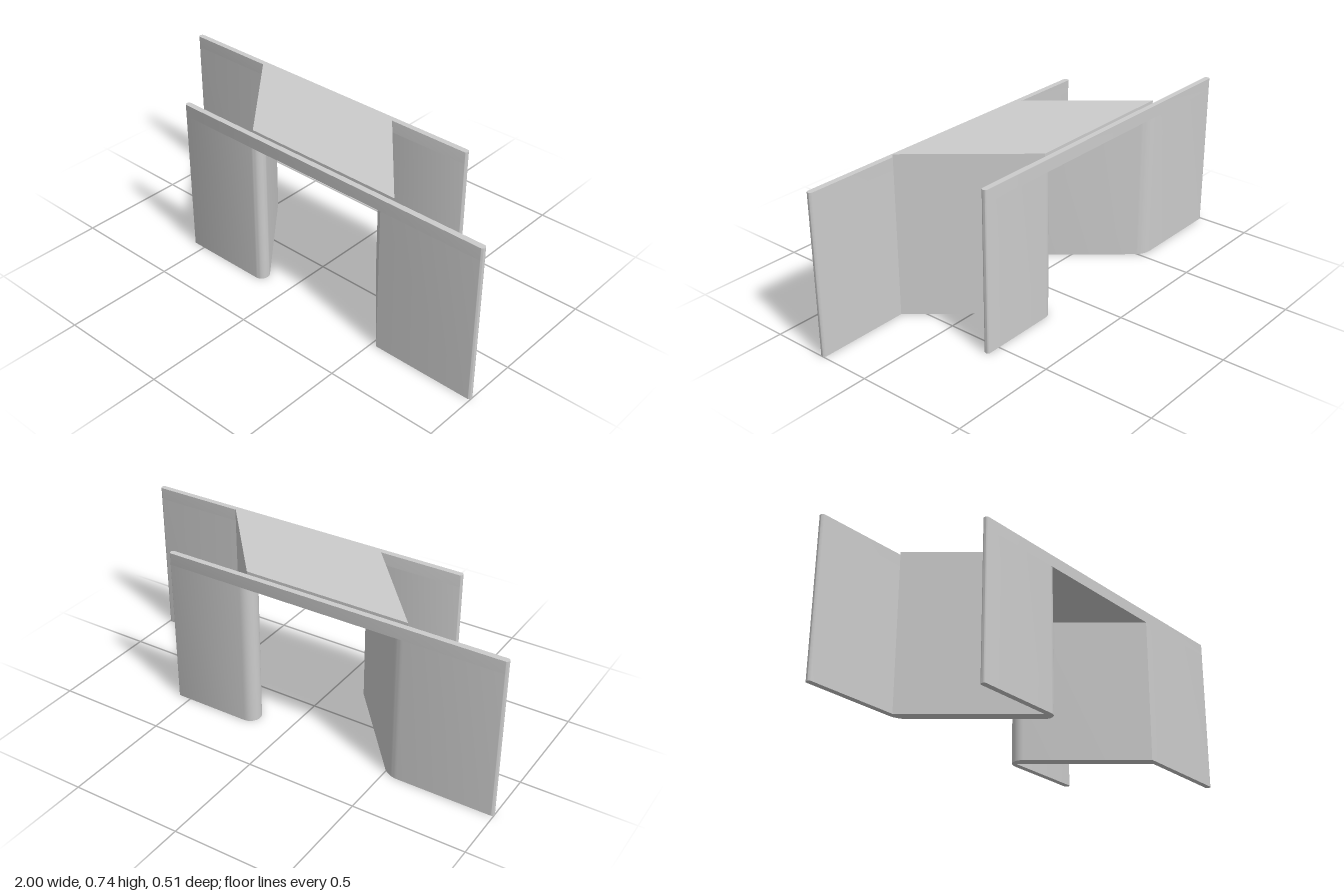
import * as THREE from 'three';
import { toCreasedNormals } from 'three/addons/utils/BufferGeometryUtils.js';

const FACE = 0.256;      // outer face of the side walls
const INNER = 0.23;      // inner face of the side walls
const SOFFIT = 0.67;     // underside of the deck
const END = 0.012;       // rounding of the wall ends

// Plan outline from [x, z, radius] corners, each rounded by a tangent arc
function planShape(corners) {
  const pts = corners.map(([x, z]) => new THREE.Vector2(x, -z));
  const n = pts.length;
  const out = [];
  corners.forEach(([, , r = 0], i) => {
    const p = pts[i];
    if (!r) return out.push(p);
    const a = pts[(i + n - 1) % n].clone().sub(p).normalize();
    const b = pts[(i + 1) % n].clone().sub(p).normalize();
    const half = Math.acos(a.dot(b)) / 2;
    const c = a.clone().add(b).normalize().multiplyScalar(r / Math.sin(half)).add(p);
    const t = r / Math.tan(half);
    const start = a.multiplyScalar(t).add(p).sub(c).angle();
    let sweep = b.multiplyScalar(t).add(p).sub(c).angle() - start;
    if (sweep > Math.PI) sweep -= 2 * Math.PI;
    if (sweep < -Math.PI) sweep += 2 * Math.PI;
    for (let k = 0; k <= 10; k++) {
      const ang = start + sweep * k / 10;
      out.push(new THREE.Vector2(c.x + r * Math.cos(ang), c.y + r * Math.sin(ang)));
    }
  });
  return new THREE.Shape(out);
}

// Plan outline raised from y0 to y1
function slab(name, corners, y0, y1, material) {
  const geo = new THREE.ExtrudeGeometry(planShape(corners), { depth: y1 - y0, bevelEnabled: false });
  geo.rotateX(-Math.PI / 2).translate(0, y0, 0);
  const mesh = new THREE.Mesh(toCreasedNormals(geo, 0.6), material);
  mesh.name = name;
  return mesh;
}

export function createModel() {
  const group = new THREE.Group();
  group.name = 'skewBridge';
  const material = new THREE.MeshStandardMaterial({ color: 0xcccccc });

  // Z-shaped abutments with wing walls; the second is turned half round
  const abutment = (name, noseX, noseR, bendX, bendR) => slab(name, [
    [-0.565, FACE, END], [-0.565, INNER, END],
    [-0.18, INNER], [-0.57, -INNER],
    [-1, -INNER, END], [-1, -FACE, END],
    [bendX, -FACE, bendR], [noseX, FACE, noseR],
  ], 0, SOFFIT, material);
  const right = abutment('rightAbutment', -0.089, 0.036, -0.52, 0.1);
  const left = abutment('leftAbutment', -0.095, 0.05, -0.525, 0);
  left.rotation.y = Math.PI;
  group.add(right, left);

  // Long parapet beams along the top of both faces
  for (const [name, turn] of [['frontParapet', 0], ['backParapet', Math.PI]]) {
    const beam = slab(name, [
      [-0.565, FACE, END], [1, FACE, END], [1, INNER, END], [-0.565, INNER, END],
    ], SOFFIT, 0.725, material);
    beam.rotation.y = turn;
    group.add(beam);
  }

  // Skewed deck
  group.add(slab('deck', [
    [-0.18, INNER], [0.57, INNER], [0.18, -INNER], [-0.57, -INNER],
  ], SOFFIT, 0.738, material));

  return group;
}
